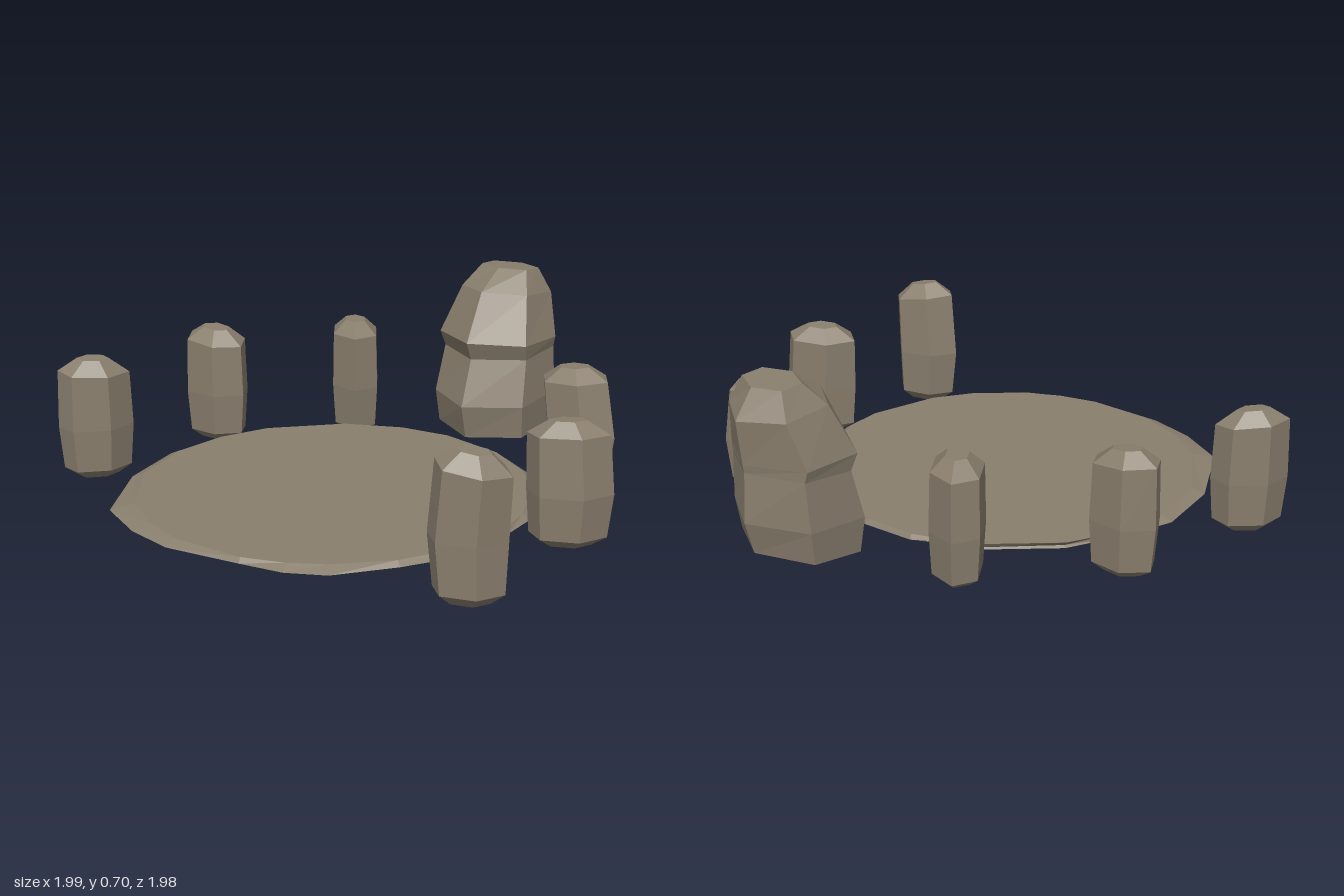
import * as THREE from 'three';

const stoneMat = new THREE.MeshStandardMaterial({ color: 0x8a7f6e, flatShading: true });

// Closed faceted skin over a stack of rings (bottom to top) with equal point counts
function loft(name, rings) {
  const n = rings[0].length, pos = [];
  const tri = (...pts) => pts.forEach((p) => pos.push(p.x, p.y, p.z));
  const middle = (ring) => ring.reduce((s, p) => s.add(p), new THREE.Vector3()).divideScalar(n);
  const bottom = middle(rings[0]), top = middle(rings.at(-1));
  for (let i = 0; i < n; i++) {
    const j = (i + 1) % n;
    for (let k = 0; k < rings.length - 1; k++) {
      const lo = rings[k], up = rings[k + 1];
      tri(lo[i], up[i], lo[j]);
      tri(lo[j], up[i], up[j]);
    }
    tri(bottom, rings[0][i], rings[0][j]);
    tri(top, rings.at(-1)[j], rings.at(-1)[i]);
  }
  const g = new THREE.BufferGeometry();
  g.setAttribute('position', new THREE.Float32BufferAttribute(pos, 3));
  g.computeVertexNormals();
  const mesh = new THREE.Mesh(g, stoneMat);
  mesh.name = name;
  return mesh;
}

// Elliptical ring; slope values raise it along x and z
function ring(n, y, cx, cz, rx, rz, { turn = 0, start = 0, sx = 0, sz = 0 } = {}) {
  return Array.from({ length: n }, (_, i) => {
    const a = start + (i / n) * Math.PI * 2;
    const u = Math.cos(a) * rx, v = Math.sin(a) * rz;
    const x = u * Math.cos(turn) - v * Math.sin(turn);
    const z = u * Math.sin(turn) + v * Math.cos(turn);
    return new THREE.Vector3(cx + x, y + sx * x + sz * z, cz + z);
  });
}

// Thin round floor slab with a chipped rim
function floorSlab() {
  const outline = [
    [0.72, 0.2], [0.69, 0.49], [0.6, 0.65], [0.46, 0.84], [0.33, 0.91], [0.17, 0.94], [-0.11, 0.985],
    [-0.3, 0.95], [-0.5, 0.86], [-0.68, 0.57], [-0.745, 0.3], [-0.69, 0.08], [-0.6, -0.1], [-0.4, -0.33],
    [-0.2, -0.45], [0, -0.48], [0.27, -0.44], [0.47, -0.33], [0.6, -0.2], [0.71, 0.05],
  ];
  // Even ring whose points sit at the same bearings as the rim
  const round = (r, y) => outline.map(([x, z]) => {
    const a = Math.atan2(z - 0.24, x);
    return new THREE.Vector3(Math.cos(a) * r, y, 0.24 + Math.sin(a) * r);
  });
  const rim = outline.map(([x, z]) => new THREE.Vector3(x, 0.062, z));
  return loft('floorSlab', [round(0.7, 0.055), rim, round(0.708, 0.08), round(0.6, 0.079)]);
}

// Large six-sided stone: [y front, y back, z front, z back, half width]
function mainStone() {
  const levels = [
    [0.06, 0.1, -0.54, -0.94, 0.195],
    [0.19, 0.22, -0.51, -0.975, 0.205],
    [0.37, 0.4, -0.57, -0.965, 0.19],
    [0.44, 0.43, -0.54, -0.97, 0.2],
    [0.625, 0.59, -0.635, -0.99, 0.15],
    [0.7, 0.69, -0.75, -0.92, 0.103],
  ];
  return loft('mainStone', levels.map(([yf, yb, zf, zb, w]) => ring(6, (yf + yb) / 2, 0.035, (zf + zb) / 2,
    w / Math.cos(Math.PI / 6), (zf - zb) / 2, { start: Math.PI / 2, sz: (yf - yb) / (zf - zb) })));
}

// Small upright stone with a waist, tapered foot and sloping, pointed head
function standingStone({ x, z, y, top, turn, a, b, lean = [0, 0], slope = [0, 0] }) {
  const h = top - y;
  const levels = [[0, 0.55, 0], [0.07, 0.9, 0], [0.42, 1, -0.4], [0.88, 0.95, 0.8], [0.99, 0.42, 1]];
  const rings = levels.map(([t, s, l], k) => ring(6, y + h * t, x + lean[0] * l, z + lean[1] * l, a * s, b * s,
    { turn, start: 0.25, sx: k > 2 ? slope[0] : 0, sz: k > 2 ? slope[1] : 0 }));
  return loft('standingStone', rings);
}

export function createModel() {
  const group = new THREE.Group();
  group.name = 'stoneCircle';
  group.add(floorSlab(), mainStone());

  const stones = [
    { x: -0.46, z: -0.475, y: 0.025, top: 0.48, turn: 0.75, a: 0.145, b: 0.1 },
    { x: 0.58, z: -0.475, y: 0.03, top: 0.465, turn: -0.25, a: 0.14, b: 0.11, lean: [-0.025, 0], slope: [0.05, 0] },
    { x: -0.815, z: -0.045, y: 0.03, top: 0.48, turn: -0.2, a: 0.135, b: 0.1, slope: [-0.1, -0.05] },
    { x: -0.89, z: 0.54, y: 0.02, top: 0.475, turn: -1.0, a: 0.14, b: 0.09, slope: [-0.1, 0] },
    { x: 0.865, z: 0.06, y: 0.02, top: 0.46, turn: -0.6, a: 0.15, b: 0.095, lean: [-0.01, 0], slope: [0.05, 0.05] },
    { x: 0.845, z: 0.62, y: 0.003, top: 0.51, turn: -0.5, a: 0.135, b: 0.095, lean: [0.015, 0], slope: [-0.15, 0] },
  ];
  stones.forEach((s) => group.add(standingStone(s)));
  return group;
}
